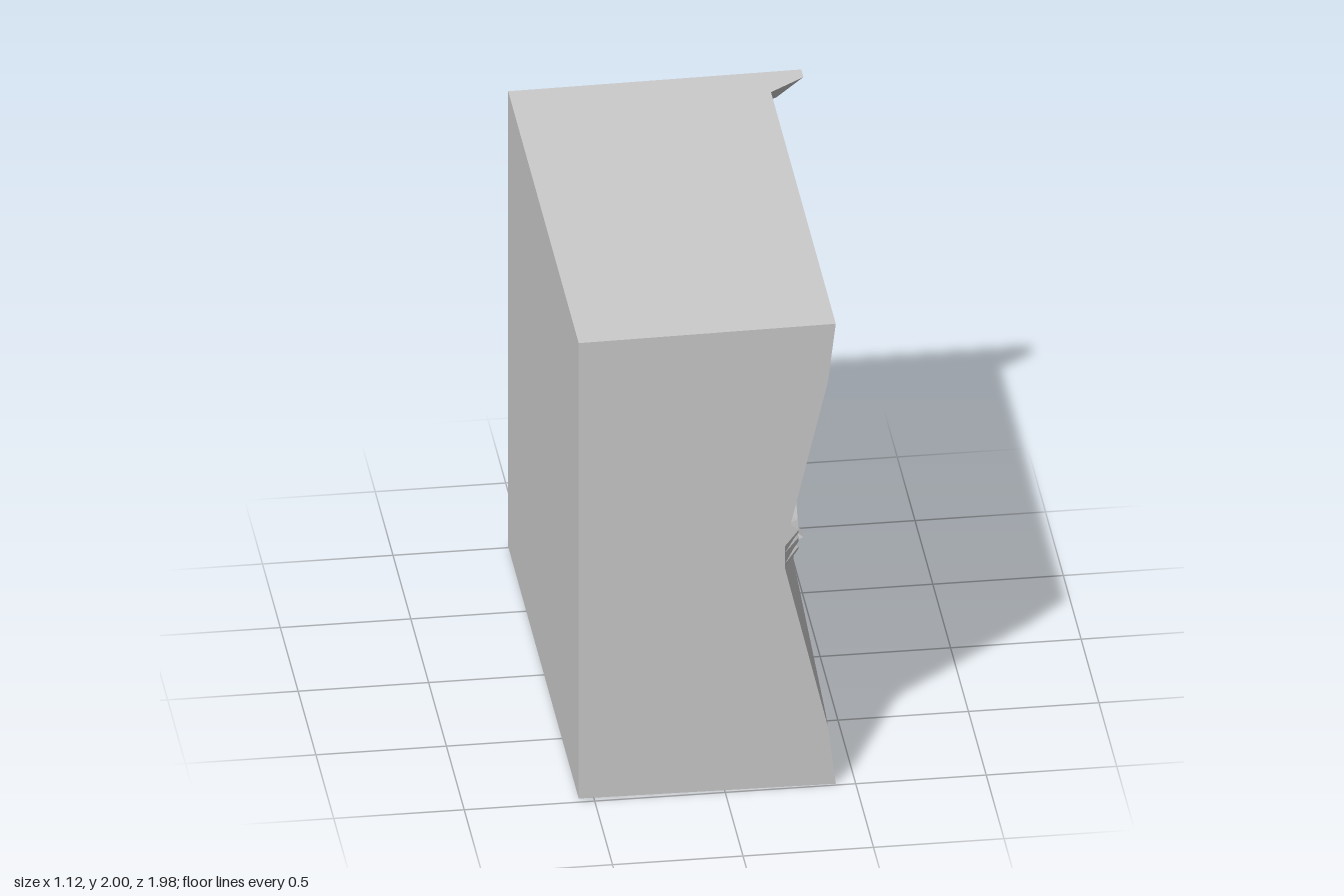
import * as THREE from 'three';

const grey = (side = THREE.FrontSide) =>
  new THREE.MeshStandardMaterial({ color: 0xcccccc, flatShading: true, side });
const CY = 1, BACK_X = -0.56, END_Z = -0.99, NOTCH_Z = 0.82;
const STATIONS = [0.99, 0.86, NOTCH_Z, 0.67, 0.5, 0.25, -0.1, -0.49, -0.83, -0.93, END_Z];

// Lines running along the carving: keys of [z, height above centre, x]
const edge = [[0.99, 1, 0.425], [-0.83, 1, 0.425], [-0.93, 1, 0.563], [END_Z, 1, 0.563]];
const panel = [[0.99, 0.75, 0.395], [NOTCH_Z, 0.79, 0.41], [0.25, 0.855, 0.33], [-0.1, 0.885, 0.29],
  [-0.83, 0.92, 0.3], [-0.93, 0.92, 0.46], [END_Z, 0.93, 0.48]];
const groove = [[0.99, 0.047, 0.23], [NOTCH_Z, 0.08, 0.275], [0.67, 0.19, 0.305], [0.5, 0.33, 0.185],
  [-0.1, 0.63, 0.16], [-0.49, 0.77, 0.15], [-0.83, 0.84, 0.15], [END_Z, 0.85, 0.08]];
const rib = [[0.99, 0.04, 0.23], [0.86, 0.04, 0.3], [0.5, 0.26, 0.32], [-0.1, 0.56, 0.33],
  [-0.49, 0.7, 0.33], [-0.83, 0.76, 0.325], [-0.93, 0.76, 0.422], [END_Z, 0.76, 0.422]];
const ridgeFoot = [[0.99, 0.018, 0.23], [0.86, 0.018, 0.29], [0.5, 0.035, 0.265],
  [-0.1, 0.085, 0.25], [-0.49, 0.13, 0.235], [END_Z, 0.13, 0.21]];
const ridgeTop = [[0.99, 0.009, 0.23], [0.86, 0.009, 0.3], [-0.49, 0.06, 0.31], [-0.83, 0.06, 0.21]];

// Point [height, x, z] of a line at z, linear between its keys
function at(line, z) {
  const i = line.findIndex(key => key[0] <= z);
  if (i < 0) return [...line[line.length - 1].slice(1), z];
  if (i === 0) return [...line[0].slice(1), z];
  const [z0, h0, x0] = line[i - 1], [z1, h1, x1] = line[i];
  const t = (z - z0) / (z1 - z0);
  return [THREE.MathUtils.lerp(h0, h1, t), THREE.MathUtils.lerp(x0, x1, t), z];
}

// Closed outline of one station, counter-clockwise seen from the front
function outline(z) {
  const [ribH, ribX] = at(rib, z);
  const foot = at(ridgeFoot, z);
  // The panel line waits at the notch corner so the notch is one clean triangle
  const panelZ = z >= 0.5 ? Math.max(z, NOTCH_Z) : z;
  const upper = [
    [0.99, BACK_X, z], at(edge, z), at(panel, panelZ), at(groove, z),
    [ribH, ribX, z],
    [ribH * (0.74 + 0.14 * ribH), ribX, z],
    [ribH * (0.53 + 0.2 * ribH), foot[1], z],
    foot, at(ridgeTop, z),
  ];
  const lower = upper.map(([h, x, pz]) => [-h, x, pz]);
  return [...lower, ...upper.reverse()].map(([h, x, pz]) => new THREE.Vector3(x, CY + h, pz));
}

// Block lofted through the stations and capped at both ends
function carvedBlock() {
  const rings = STATIONS.map(outline);
  const n = rings[0].length, end = rings.length - 1, idx = [];
  for (let i = 0; i < end; i++) {
    for (let j = 0; j < n; j++) {
      const a = i * n + j, b = i * n + (j + 1) % n;
      // Diagonals mirror about the centre height
      if (j < n / 2) idx.push(a, a + n, b + n, a, b + n, b);
      else idx.push(a, a + n, b, b, a + n, b + n);
    }
  }
  for (const [a, b, c] of THREE.ShapeUtils.triangulateShape(rings[0], [])) idx.push(a, b, c);
  for (const [a, b, c] of THREE.ShapeUtils.triangulateShape(rings[end], []))
    idx.push(end * n + a, end * n + c, end * n + b);
  const geo = new THREE.BufferGeometry().setFromPoints(rings.flat());
  geo.setIndex(idx);
  const flat = geo.toNonIndexed();
  flat.computeVertexNormals();
  return flat;
}

export function createModel() {
  const group = new THREE.Group();
  const add = (name, geo, material) => {
    const mesh = new THREE.Mesh(geo, material);
    mesh.name = name;
    group.add(mesh);
    return mesh;
  };

  add('carvedWallBlock', carvedBlock(), grey());

  // Half ring with a sunken centre, turned about the x axis
  const profile = [[0.5, 0.2], [0.5, 0.345], [0.42, 0.412], [0.345, 0.31], [0, 0.31]]
    .map(([r, x]) => new THREE.Vector2(r, x));
  const ring = new THREE.LatheGeometry(profile, 14, -Math.PI / 2, Math.PI);
  ring.rotateZ(-Math.PI / 2);
  add('medallionRing', ring, grey(THREE.DoubleSide)).position.set(0, CY, END_Z);

  // Flat cut end of the ring
  const cut = [...profile.map(p => new THREE.Vector2(p.y, p.x)),
    ...profile.slice(0, -1).reverse().map(p => new THREE.Vector2(p.y, -p.x))];
  add('medallionCutFace', new THREE.ShapeGeometry(new THREE.Shape(cut)), grey(THREE.DoubleSide))
    .position.set(0, CY, END_Z);

  // Hollow faceted boss, cut open at the back
  const boss = new THREE.IcosahedronGeometry(0.245, 1);
  boss.rotateX(Math.PI / 2);
  boss.rotateZ(0.14);
  const p = boss.attributes.position, kept = [];
  for (let i = 0; i < p.count; i += 3) {
    const corners = [0, 1, 2].map(k => new THREE.Vector3().fromBufferAttribute(p, i + k));
    if (corners.some(c => c.z > 0.001)) corners.forEach(c => kept.push(c.setZ(Math.max(0, c.z))));
  }
  const shell = new THREE.BufferGeometry().setFromPoints(kept);
  shell.computeVertexNormals();
  add('medallionBoss', shell, grey(THREE.DoubleSide)).position.set(0.265, CY, END_Z);

  return group;
}
